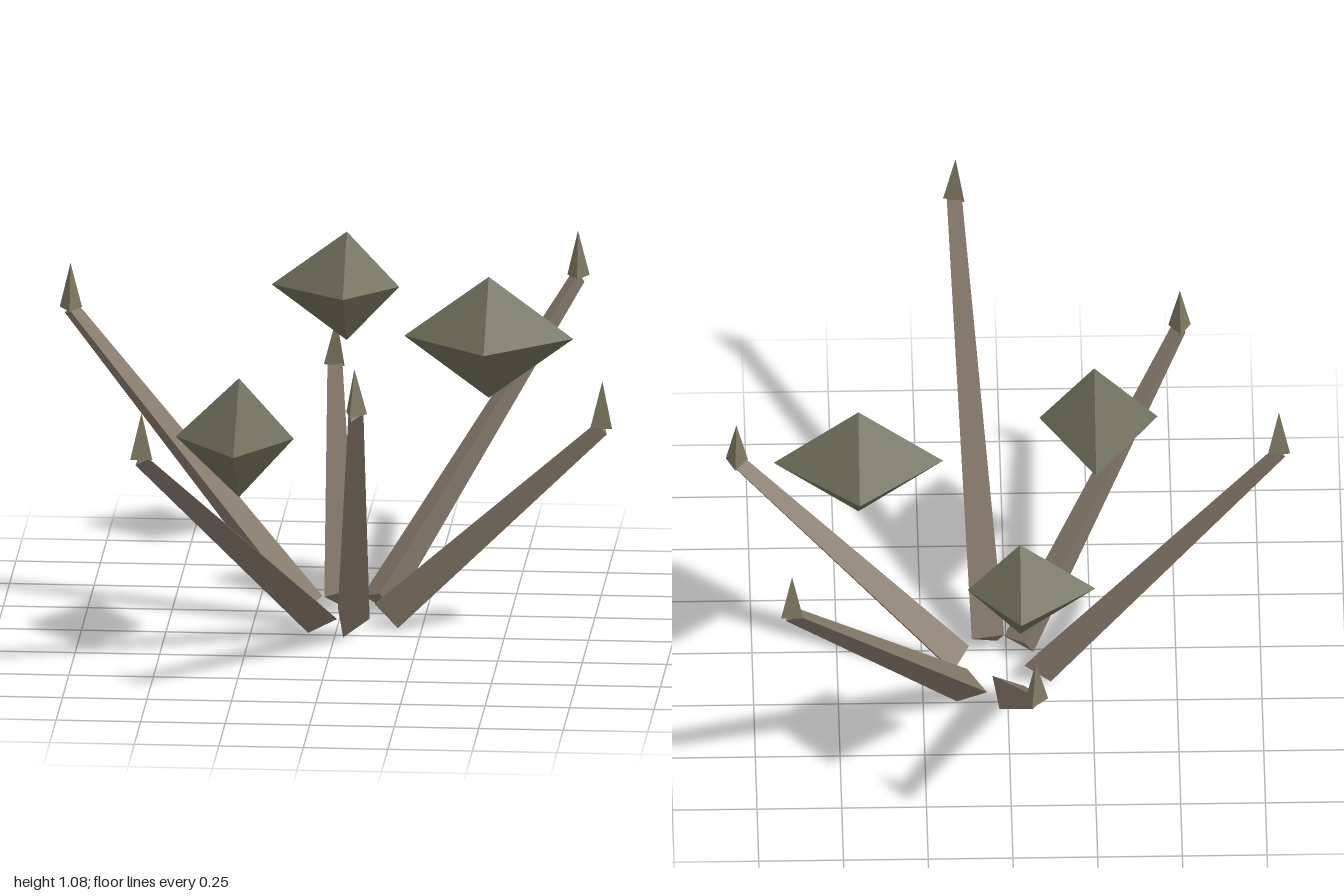
import * as THREE from 'three';

const UP = new THREE.Vector3(0, 1, 0);
const ROLL = THREE.MathUtils.degToRad(98); // shared turn of the three-sided sections

const material = (color) => new THREE.MeshStandardMaterial({ color, flatShading: true });
const barkMaterial = material(0x85786a);
const thornMaterial = material(0x7d785f);
const crystalMaterial = material(0x6c6c58);

// Three-sided tapering branch from base to tip, capped by an upright thorn
function createBranch(base, tip) {
  const branch = new THREE.Group();
  branch.name = 'branch';
  const axis = tip.clone().sub(base);
  const length = axis.length();
  axis.normalize();
  const side = UP.clone().cross(axis).normalize();

  const stem = new THREE.Mesh(
    new THREE.CylinderGeometry(0.027, 0.058, length, 3, 1, false, ROLL), barkMaterial);
  stem.name = 'stem';
  stem.quaternion.setFromRotationMatrix(
    new THREE.Matrix4().makeBasis(side, axis, side.clone().cross(axis)));
  stem.position.copy(base).lerp(tip, 0.5);

  const height = 0.14;
  const thorn = new THREE.Mesh(
    new THREE.ConeGeometry(0.038, height, 3, 1, false, ROLL), thornMaterial);
  thorn.name = 'thorn';
  thorn.rotation.y = Math.atan2(axis.x, axis.z);
  thorn.position.copy(tip);
  thorn.position.y += height / 2;

  branch.add(stem, thorn);
  return branch;
}

// Octahedron whose points reach a different distance on each side of its centre
function createCrystal(centre, positive, negative) {
  const geometry = new THREE.OctahedronGeometry(1);
  const p = geometry.attributes.position;
  const reach = (value, i) => value * (value > 0 ? positive[i] : negative[i]);
  for (let i = 0; i < p.count; i++) {
    p.setXYZ(i, reach(p.getX(i), 0), reach(p.getY(i), 1), reach(p.getZ(i), 2));
  }
  geometry.computeVertexNormals();
  const crystal = new THREE.Mesh(geometry, crystalMaterial);
  crystal.name = 'crystal';
  crystal.position.set(...centre);
  return crystal;
}

export function createModel() {
  const model = new THREE.Group();
  model.name = 'thornBush';

  // Branches fanning out in a ring: base, tip
  const branches = [
    [[0.045, 0.055, 0], [0.13, 0.955, 0.968]],
    [[0.11, 0.055, -0.235], [0.65, 0.87, -0.92]],
    [[-0.09, 0.055, -0.14], [-0.8, 0.93, -0.236]],
    [[0.15, 0.055, -0.105], [0.795, 0.68, 0.055]],
    [[-0.043, 0.055, -0.028], [-0.525, 0.715, 0.63]],
    [[0.007, 0.055, -0.25], [-0.068, 0.575, -0.968]],
  ];
  for (const [base, tip] of branches) {
    model.add(createBranch(new THREE.Vector3(...base), new THREE.Vector3(...tip)));
  }

  // Crystals floating between the branches
  model.add(
    createCrystal([0.44, 0.877, -0.2], [0.25, 0.185, 0.21], [0.25, 0.185, 0.215]),
    createCrystal([-0.025, 0.86, -0.8], [0.155, 0.166, 0.16], [0.222, 0.166, 0.177]),
    createCrystal([-0.265, 0.68, 0.253], [0.162, 0.182, 0.228], [0.187, 0.182, 0.283]),
  );
  return model;
}
